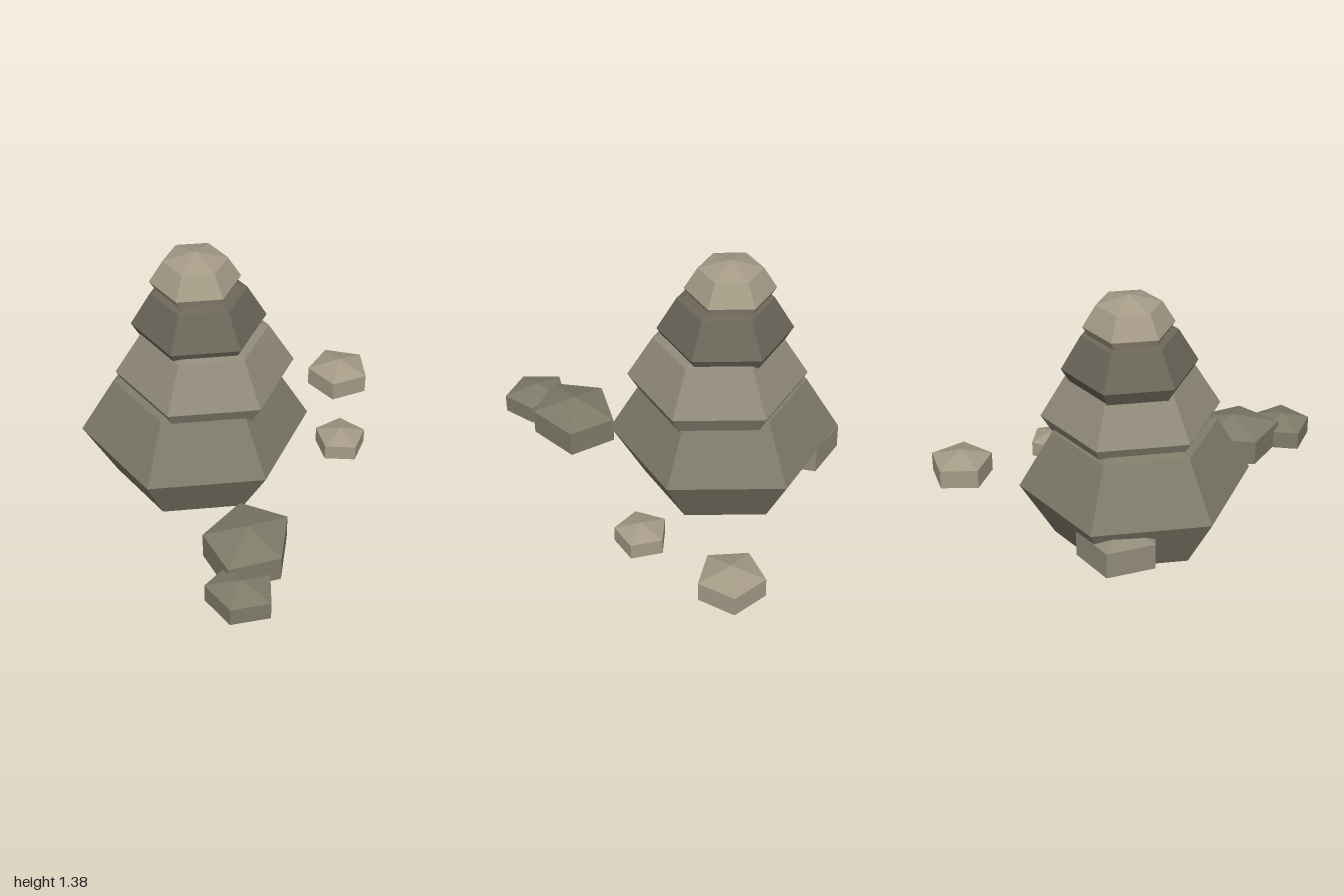
import * as THREE from 'three';

const OLIVE = 0x7f7b69, GREY = 0x918b7a, DARK = 0x6c665a, TAN = 0xa59b87;

// Low-poly stone: a faceted sphere with one corner turned to `corner` degrees
// (measured from +x towards +z), then stretched to its half-sizes.
function stone(name, sides, rows, corner, [rx, ry, rz], [x, y, z], color) {
  const geometry = new THREE.SphereGeometry(1, sides, rows);
  geometry.rotateY(Math.PI - THREE.MathUtils.degToRad(corner));
  geometry.scale(rx, ry, rz);
  const material = new THREE.MeshStandardMaterial({ color, flatShading: true });
  const mesh = new THREE.Mesh(geometry, material);
  mesh.name = name;
  mesh.position.set(x, y, z);
  return mesh;
}

export function createModel() {
  const group = new THREE.Group();
  group.name = 'cairn';

  // Stacked stones: radius, half height, centre, colour
  const stack = [
    ['baseStone', 0.563, 0.4, [-0.114, 0.4, -0.03], OLIVE],
    ['lowerStone', 0.433, 0.3, [-0.066, 0.748, -0.043], GREY],
    ['upperStone', 0.324, 0.233, [-0.101, 1.006, -0.053], DARK],
    ['capStone', 0.216, 0.15, [-0.122, 1.225, -0.06], TAN],
  ];
  for (const [name, r, h, at, color] of stack) {
    group.add(stone(name, 6, 4, 90, [r, h, r], at, color));
  }

  // Loose pebbles around the foot: corner angle, half-sizes, centre, colour
  const pebbles = [
    ['frontPebble', 90, [0.237, 0.13, 0.277], [0.414, 0.265, 0.57], OLIVE],
    ['outerFrontPebble', 87, [0.193, 0.0925, 0.173], [0.495, 0.243, 0.848], OLIVE],
    ['backPebble', 8, [0.186, 0.1, 0.186], [0.354, 0.247, -0.855], TAN],
    ['leftPebble', 178, [0.148, 0.078, 0.148], [0.539, 0.232, -0.36], TAN],
    ['rightPebble', 205.5, [0.234, 0.133, 0.234], [-0.473, 0.267, -0.16], GREY],
  ];
  for (const [name, corner, size, at, color] of pebbles) {
    group.add(stone(name, 5, 3, corner, size, at, color));
  }
  return group;
}
